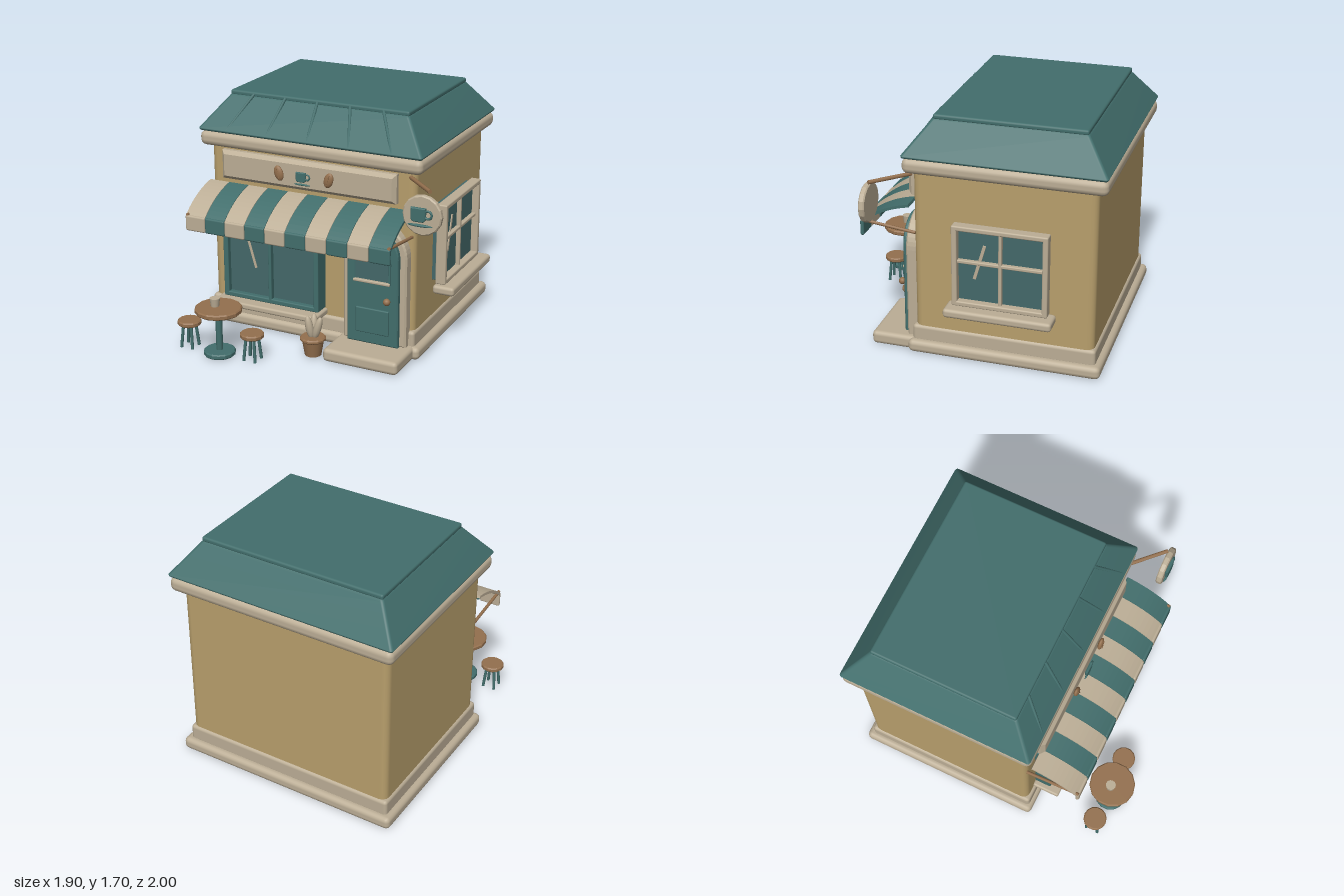
import * as THREE from 'three';
import { RoundedBoxGeometry } from 'three/addons/geometries/RoundedBoxGeometry.js';
import { mergeVertices } from 'three/addons/utils/BufferGeometryUtils.js';

const mat = (name, color) => {
  const m = new THREE.MeshStandardMaterial({ color });
  m.name = name;
  return m;
};

export function createModel() {
  const wall = mat('wall ochre', 0xb89f6c);
  const cream = mat('cream', 0xbcae96);
  const teal = mat('teal', 0x426e6c);
  const glass = mat('glass', 0x44696a);
  const wood = mat('wood', 0x94704e);
  const model = new THREE.Group();
  model.name = 'cafe';

  const group = (name, parent = model) => {
    const g = new THREE.Group();
    g.name = name;
    parent.add(g);
    return g;
  };
  const add = (name, geo, m, parent = model, pos = [0, 0, 0]) => {
    const mesh = new THREE.Mesh(geo, m);
    mesh.name = name;
    mesh.position.set(...pos);
    parent.add(mesh);
    return mesh;
  };
  // Rounded block given by its limits on each axis
  const block = (name, m, x0, x1, y0, y1, z0, z1, r = 0.01, parent = model) => {
    const size = [x1 - x0, y1 - y0, z1 - z0];
    const geo = new RoundedBoxGeometry(...size, 2, Math.min(r, Math.min(...size) * 0.45));
    return add(name, geo, m, parent, [(x0 + x1) / 2, (y0 + y1) / 2, (z0 + z1) / 2]);
  };
  // Round bar between two points
  const rod = (name, m, a, b, r, parent = model) => {
    const p = new THREE.Vector3(...a), q = new THREE.Vector3(...b);
    const mesh = add(name, new THREE.CylinderGeometry(r, r, p.distanceTo(q), 8), m, parent);
    mesh.position.copy(p).add(q).multiplyScalar(0.5);
    mesh.quaternion.setFromUnitVectors(new THREE.Vector3(0, 1, 0), q.sub(p).normalize());
    return mesh;
  };
  const disc = (name, m, x, y0, y1, z, r, parent = model, sides = 14) => {
    const h = y1 - y0, b = Math.min(0.008, h / 3);
    const pts = [[0, 0], [r - b, 0], [r, b], [r, h - b], [r - b, h], [0, h]].map(p => new THREE.Vector2(...p));
    const geo = new THREE.LatheGeometry(pts, sides).toNonIndexed();
    geo.computeVertexNormals();
    return add(name, geo, m, parent, [x, y0, z]);
  };
  const bevel = (shape, depth, b) => new THREE.ExtrudeGeometry(shape, {
    depth: depth - 2 * b, bevelEnabled: b > 0, bevelSize: b, bevelThickness: b, bevelOffset: -b,
    bevelSegments: 1, curveSegments: 12,
  }).translate(0, 0, b);

  // Walls and masonry bands
  block('walls', wall, -0.89, 0.66, 0.05, 1.36, -0.93, 0.315, 0.05);
  block('foundation', cream, -0.945, 0.715, 0, 0.092, -0.985, 0.36, 0.035);
  block('plinth', cream, -0.905, 0.672, 0.07, 0.197, -0.945, 0.335, 0.025);
  block('cornice', cream, -0.95, 0.72, 1.32, 1.425, -1, 0.375, 0.042);
  block('doorstep', cream, 0.125, 0.675, 0, 0.095, 0.3, 0.635, 0.03);

  // Hipped roof: rounded block drawn in towards the top
  const roofGeo = new RoundedBoxGeometry(1.675, 0.25, 1.375, 3, 0.02);
  roofGeo.deleteAttribute('normal');
  roofGeo.deleteAttribute('uv');
  const hip = mergeVertices(roofGeo, 1e-4);
  const p = hip.attributes.position;
  for (let i = 0; i < p.count; i++) {
    const inset = 0.175 * Math.max(0, (p.getY(i) + 0.105) / 0.23);
    p.setX(i, p.getX(i) - Math.sign(p.getX(i)) * inset);
    p.setZ(i, p.getZ(i) - Math.sign(p.getZ(i)) * inset);
  }
  hip.computeVertexNormals();
  add('roof', hip, teal, model, [-0.115, 1.55, -0.3125]);
  block('roofCap', teal, -0.787, 0.557, 1.657, 1.695, -0.832, 0.205, 0.015);
  for (let i = -2; i <= 2; i++)
    rod('roofRib', teal, [-0.115 + i * 0.31, 1.445, 0.362], [-0.115 + i * 0.243, 1.68, 0.2], 0.011);

  // Coffee cup emblem: bowl, handle and saucer
  const cupEmblem = (x, y, z, s) => {
    const g = group('cupEmblem');
    const bowl = new THREE.Shape();
    bowl.moveTo(-0.5, 0.45).lineTo(0.5, 0.45).lineTo(0.48, -0.25);
    bowl.quadraticCurveTo(0.44, -0.45, 0.25, -0.45).lineTo(-0.25, -0.45);
    bowl.quadraticCurveTo(-0.44, -0.45, -0.48, -0.25).lineTo(-0.5, 0.45);
    add('cupBowl', bevel(bowl, 0.24, 0.05), teal, g);
    add('cupHandle', new THREE.TorusGeometry(0.25, 0.08, 8, 16), teal, g, [0.62, 0.05, 0.12]);
    const saucer = add('cupSaucer', new THREE.SphereGeometry(1, 16, 8), teal, g, [0.12, -0.68, 0.12]);
    saucer.scale.set(0.83, 0.09, 0.12);
    g.position.set(x, y, z);
    g.scale.setScalar(s);
  };

  // Fascia board with emblem and beans
  const board = new THREE.Shape();
  board.moveTo(-0.77, 1.105).lineTo(0.545, 1.105).lineTo(0.545, 1.31).lineTo(-0.77, 1.31);
  add('fasciaBoard', bevel(board, 0.08, 0.025), cream, model, [0, 0, 0.31]);
  cupEmblem(-0.135, 1.21, 0.405, 0.075);
  for (const [x, tilt] of [[-0.305, 0.3], [0.07, -0.3]]) {
    const bean = add('coffeeBean', new THREE.SphereGeometry(1, 14, 10), wood, model, [x, 1.215, 0.41]);
    bean.scale.set(0.034, 0.054, 0.018);
    bean.rotation.z = tilt;
    const crease = block('beanCrease', wood, -0.003, 0.003, -0.04, 0.04, -0.002, 0.003, 0.001);
    crease.position.set(x, 1.215, 0.427);
    crease.rotation.z = tilt;
  }

  // Striped awning with hanging flaps and wooden arms
  const awning = group('awning');
  const curve = new THREE.QuadraticBezierCurve(
    new THREE.Vector2(0.355, 1.075), new THREE.Vector2(0.56, 1.04), new THREE.Vector2(0.695, 0.91));
  const top = curve.getPoints(10);
  const under = top.map(v => new THREE.Vector2(v.x - 0.006, v.y - 0.018)).reverse();
  const stripeW = 0.153;
  const canopy = new THREE.ExtrudeGeometry(new THREE.Shape([...top, ...under]),
    { depth: stripeW - 0.003, bevelEnabled: false }).rotateY(-Math.PI / 2);
  for (let i = 0; i < 10; i++) {
    const x = -0.88 + i * stripeW, m = i % 2 ? teal : cream;
    add('awningStripe', canopy, m, awning, [x + stripeW - 0.002, 0, 0]);
    block('awningFlap', m, x + 0.001, x + stripeW - 0.001, 0.808, 0.918, 0.675, 0.702, 0.012, awning);
  }
  for (const x of [-0.865, 0.637])
    rod('awningArm', wood, [x, 0.875, 0.31], [x, 0.922, 0.695], 0.011, awning);

  // Shop window
  const shop = group('shopWindow');
  block('shopGlass', glass, -0.73, -0.015, 0.26, 0.98, 0.3, 0.395, 0.004, shop);
  for (const [x0, x1] of [[-0.748, -0.71], [-0.392, -0.368], [-0.04, -0.003]])
    block('shopFrameUpright', teal, x0, x1, 0.25, 0.99, 0.31, 0.432, 0.008, shop);
  for (const y of [0.25, 0.955])
    block('shopFrameRail', teal, -0.748, -0.003, y, y + 0.035, 0.31, 0.432, 0.008, shop);
  block('shopSill', cream, -0.785, 0.015, 0.203, 0.248, 0.31, 0.51, 0.015, shop);
  const glint = block('shopGlint', cream, -0.009, 0.009, -0.19, 0.19, -0.004, 0.004, 0.002, shop);
  glint.position.set(-0.555, 0.67, 0.4);
  glint.rotation.z = 0.28;

  // Arched door
  const door = group('door');
  const arch = (Type, w, y0, spring) => {
    const s = new Type();
    s.moveTo(-w, y0).lineTo(w, y0).lineTo(w, spring);
    s.absarc(0, spring, w, 0, Math.PI, false);
    s.lineTo(-w, y0);
    return s;
  };
  const surround = arch(THREE.Shape, 0.232, 0.09, 0.735);
  surround.holes.push(arch(THREE.Path, 0.18, 0.091, 0.735));
  add('doorSurround', bevel(surround, 0.085, 0.012), cream, door, [0.4, 0, 0.3]);
  add('doorLeaf', bevel(arch(THREE.Shape, 0.187, 0.095, 0.735), 0.11, 0.008), teal, door, [0.4, 0, 0.31]);
  const rim = arch(THREE.Shape, 0.137, 0.55, 0.7);
  rim.holes.push(arch(THREE.Path, 0.122, 0.565, 0.7));
  add('doorWindowRim', bevel(rim, 0.015, 0.003), teal, door, [0.4, 0, 0.417]);
  add('doorGlass', bevel(arch(THREE.Shape, 0.124, 0.56, 0.7), 0.006, 0), glass, door, [0.4, 0, 0.417]);
  block('doorBar', cream, 0.265, 0.535, 0.547, 0.566, 0.41, 0.445, 0.006, door);
  block('doorPanel', teal, 0.28, 0.525, 0.175, 0.358, 0.41, 0.432, 0.008, door);
  add('doorKnob', new THREE.SphereGeometry(0.025, 14, 10), wood, door, [0.522, 0.44, 0.455]);

  // Side window
  const side = group('sideWindow');
  block('sideGlass', glass, 0.65, 0.715, 0.46, 1, -0.615, 0, 0.004, side);
  for (const z of [0.02, -0.597])
    block('sideFrameUpright', cream, 0.69, 0.765, 0.44, 1.02, z - 0.038, z, 0.01, side);
  for (const y of [0.44, 0.985])
    block('sideFrameRail', cream, 0.69, 0.765, y, y + 0.035, -0.635, 0.02, 0.01, side);
  block('sideMullion', cream, 0.7, 0.745, 0.45, 1.01, -0.32, -0.297, 0.006, side);
  block('sideCrossbar', cream, 0.7, 0.745, 0.747, 0.77, -0.62, 0.01, 0.006, side);
  block('sideSill', cream, 0.685, 0.843, 0.38, 0.443, -0.68, 0.06, 0.022, side);
  const sideGlint = block('sideGlint', cream, -0.004, 0.004, -0.13, 0.13, -0.011, 0.011, 0.002, side);
  sideGlint.position.set(0.72, 0.76, -0.163);
  sideGlint.rotation.x = -0.28;

  // Hanging round sign
  rod('signBracket', wood, [0.63, 1.295, 0.33], [0.852, 1.295, 0.545], 0.014);
  const sign = disc('hangingSign', cream, 0.815, 0, 0.042, 0.543, 0.135, model, 16);
  sign.rotation.x = Math.PI / 2;
  sign.position.y = 1.14;
  cupEmblem(0.795, 1.148, 0.58, 0.105);

  // Table with cup
  const table = group('table');
  disc('tableTop', wood, -0.557, 0.315, 0.352, 0.833, 0.163, table);
  rod('tablePost', teal, [-0.557, 0.02, 0.833], [-0.557, 0.32, 0.833], 0.024, table);
  disc('tableBase', teal, -0.557, 0, 0.037, 0.833, 0.11, table);
  add('tableCup', new THREE.CylinderGeometry(0.036, 0.029, 0.058, 12), cream, table, [-0.585, 0.381, 0.83]);

  // Stools
  for (const x of [-0.803, -0.308]) {
    const stool = group('stool');
    disc('stoolSeat', wood, x, 0.17, 0.205, 0.818, 0.083, stool);
    for (const sx of [-1, 1]) for (const sz of [-1, 1])
      rod('stoolLeg', teal, [x + sx * 0.044, 0.005, 0.818 + sz * 0.044],
        [x + sx * 0.03, 0.175, 0.818 + sz * 0.03], 0.011, stool);
  }

  // Potted plant
  const plant = group('pottedPlant');
  add('pot', new THREE.CylinderGeometry(0.078, 0.058, 0.118, 14), wood, plant, [0.02, 0.059, 0.557]);
  disc('potRim', wood, 0.02, 0.107, 0.135, 0.557, 0.09, plant);
  for (const [dx, dz, tx, tz] of [[-0.02, 0.012, 0.15, 0.1], [0.035, 0, -0.28, 0], [-0.005, -0.025, 0.05, -0.15]]) {
    const leaf = add('leaf', new THREE.SphereGeometry(1, 10, 10), cream, plant, [0.02 + dx, 0.2, 0.557 + dz]);
    leaf.scale.set(0.028, 0.088, 0.028);
    leaf.rotation.set(tz, 0, tx);
  }
  return model;
}
